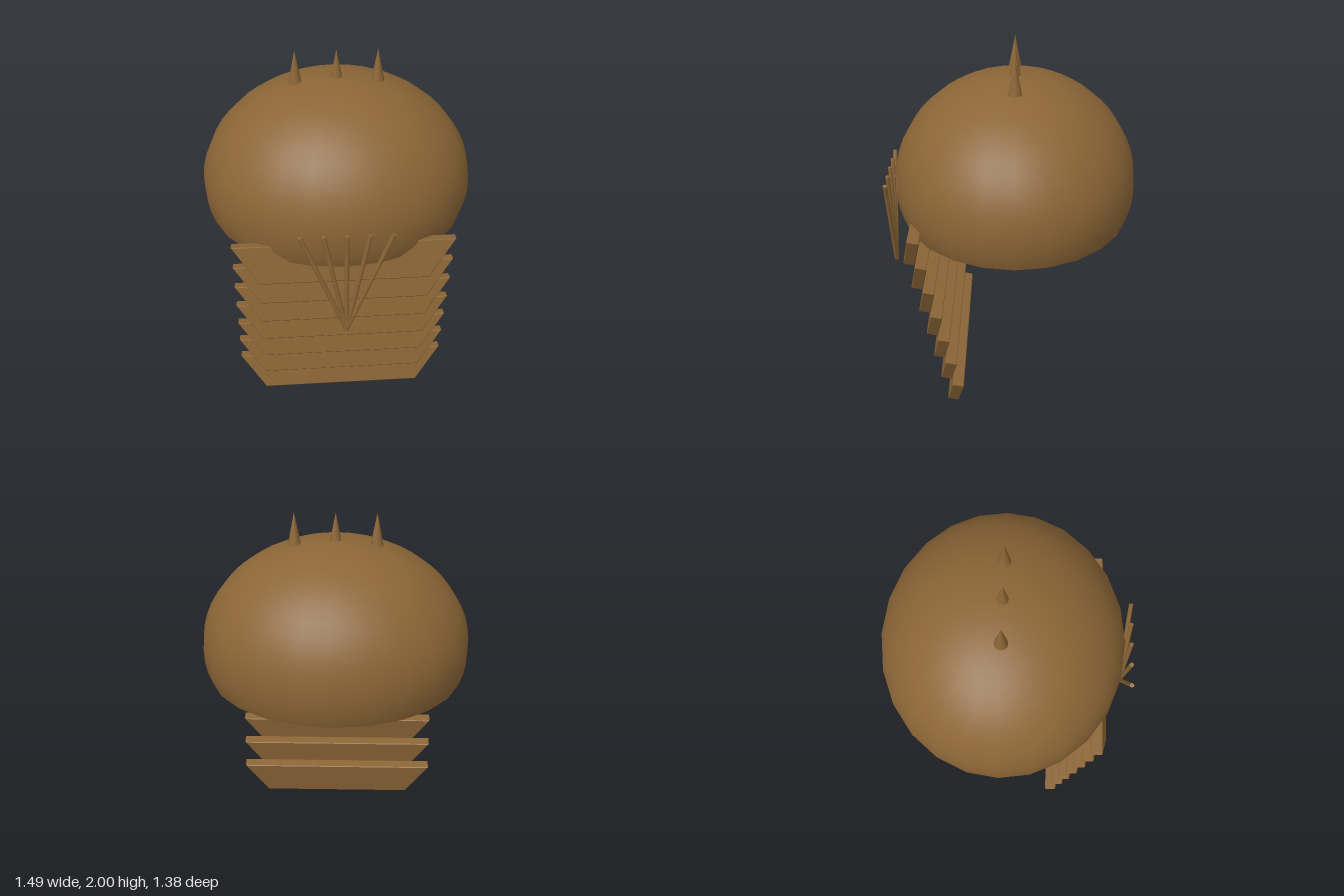
import * as THREE from 'three';

export function createModel() {
  const model = new THREE.Group();
  const brown = new THREE.MeshStandardMaterial({ color: 0x8b6536, side: THREE.DoubleSide });
  brown.name = 'brown';

  const add = (name, geometry, x, y, z) => {
    const mesh = new THREE.Mesh(geometry, brown);
    mesh.name = name;
    mesh.position.set(x, y, z);
    model.add(mesh);
    return mesh;
  };

  // Open dome, slightly narrower front to back
  const dome = add('dome', new THREE.SphereGeometry(1, 24, 16, 0, Math.PI * 2, 0, Math.PI * 0.6), 0, 1.25, -0.02);
  dome.scale.set(0.745, 0.6, 0.67);

  // Row of spikes on the crown
  const spikeGeometry = new THREE.ConeGeometry(0.036, 0.18, 12);
  for (const x of [-0.22, 0, 0.22]) add('spike', spikeGeometry, x, 1.91, -0.02);

  // Overlapping trapezoid slats, each leaning back and stepping forward as they rise
  const length = 0.217, depth = 0.064, bevel = 0.005;
  const outline = new THREE.Shape([
    new THREE.Vector2(-0.45, -length / 2),
    new THREE.Vector2(0.45, -length / 2),
    new THREE.Vector2(0.59, length / 2),
    new THREE.Vector2(-0.59, length / 2),
  ]);
  const slatGeometry = new THREE.ExtrudeGeometry(outline, {
    depth: depth - 2 * bevel,
    bevelEnabled: true,
    bevelSize: bevel,
    bevelThickness: bevel,
    bevelOffset: -bevel,
    bevelSegments: 1,
  });
  slatGeometry.center();
  for (let i = 0; i < 7; i++) {
    const slat = add('slat', slatGeometry, 0, 0.113 + i * 0.155, 0.318 + i * 0.035);
    slat.rotation.x = -0.2;
  }

  // Fan of thin rods meeting at one point in front
  for (let i = -2; i <= 2; i++) {
    const dx = i * 0.118, dy = 0.6;
    const rodGeometry = new THREE.CylinderGeometry(0.0125, 0.0125, Math.hypot(dx, dy), 8);
    const rod = add('fanRod', rodGeometry, dx / 2, 1.0, 0.683);
    rod.rotation.z = -Math.atan2(dx, dy);
  }

  return model;
}
